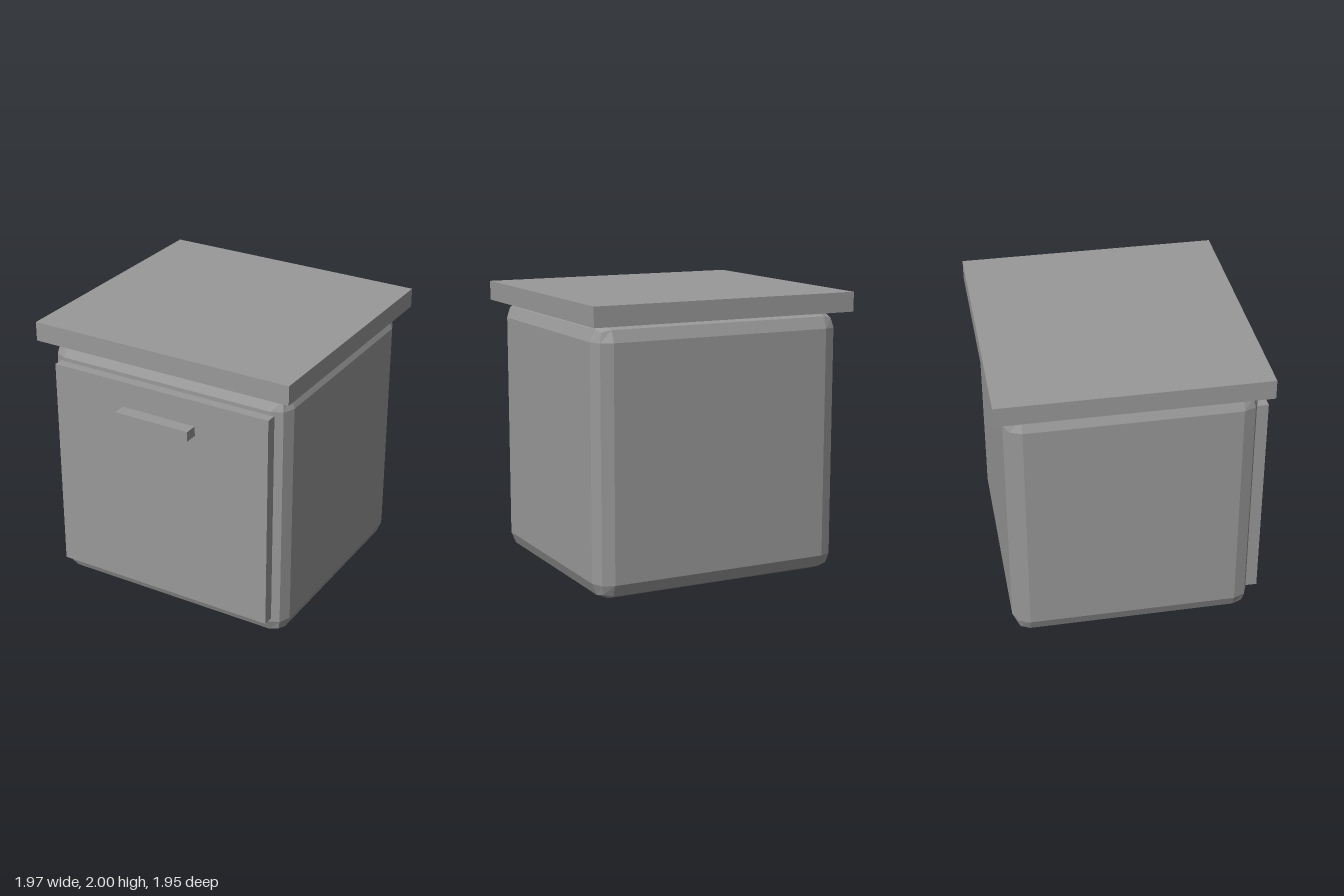
import * as THREE from 'three';
import { RoundedBoxGeometry } from 'three/addons/geometries/RoundedBoxGeometry.js';

const grey = new THREE.MeshStandardMaterial({ color: 0x999999 });
grey.name = 'grey';

// Adds a geometry as a named mesh at a given centre height and depth
function addPart(group, name, geometry, y, z) {
  const mesh = new THREE.Mesh(geometry, grey);
  mesh.name = name;
  mesh.position.set(0, y, z);
  group.add(mesh);
}

// Box spanning y0..y1 and z0..z1, centred on x = 0
function addSlab(group, name, width, y0, y1, z0, z1) {
  addPart(group, name, new THREE.BoxGeometry(width, y1 - y0, z1 - z0), (y0 + y1) / 2, (z0 + z1) / 2);
}

export function createModel() {
  const model = new THREE.Group();
  model.name = 'cabinet';

  // Cabinet body with two-facet bevelled edges, shaded flat
  const body = new RoundedBoxGeometry(1.857, 1.862, 1.712, 1, 0.117);
  body.computeVertexNormals();
  addPart(model, 'body', body, 0.931, -0.046);

  // Overhanging worktop
  addSlab(model, 'worktop', 1.97, 1.862, 2, -0.975, 0.882);

  // Front door and its bar handle
  addSlab(model, 'door', 1.68, 0.147, 1.717, 0.8, 0.88);
  addSlab(model, 'handle', 0.57, 1.46, 1.53, 0.88, 0.975);

  return model;
}
